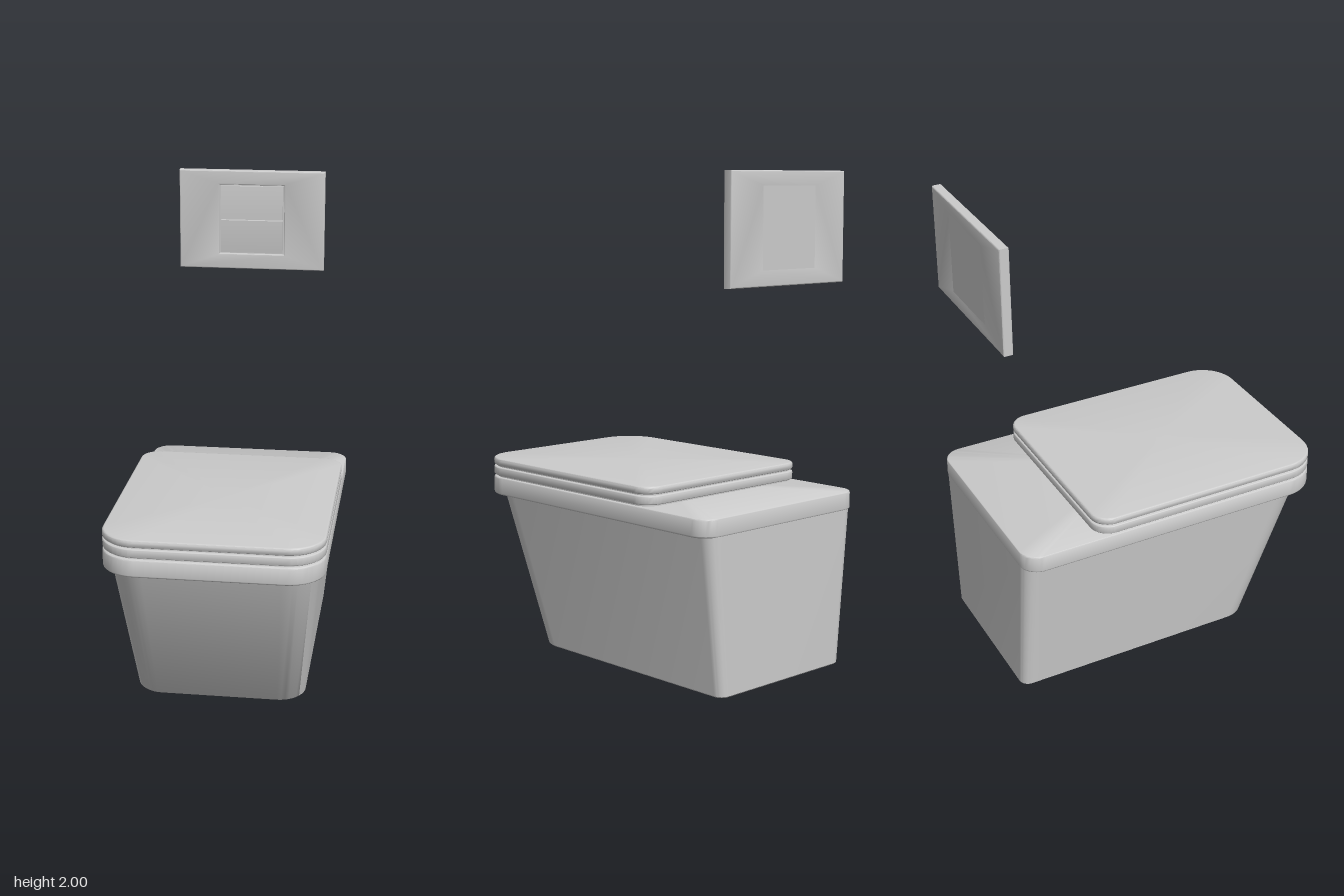
import * as THREE from 'three';
import { toCreasedNormals } from 'three/addons/utils/BufferGeometryUtils.js';

const material = new THREE.MeshStandardMaterial({ color: 0xcccccc });
const ARC = 10; // segments per rounded corner

// Rounded rectangle ring at height y, with separate front and back corner radii
function ring({ y, w, back, front, rb, rf }) {
  const corners = [
    [w - rf, front - rf, rf], [-w + rf, front - rf, rf],
    [-w + rb, back + rb, rb], [w - rb, back + rb, rb],
  ];
  const points = [];
  corners.forEach(([x, z, r], k) => {
    for (let i = 0; i <= ARC; i++) {
      const a = (k + i / ARC) * Math.PI / 2;
      points.push([x + r * Math.cos(a), y, z + r * Math.sin(a)]);
    }
  });
  return points;
}

// Closed solid skinned through a stack of rings, bottom to top
function loft(levels) {
  const rings = levels.map(ring);
  const n = rings[0].length, top = rings.length - 1;
  const index = [];
  for (let j = 0; j < top; j++) {
    for (let i = 0; i < n; i++) {
      const k = (i + 1) % n;
      const a = j * n + i, b = j * n + k, c = b + n, d = a + n;
      index.push(a, d, b, b, d, c);
    }
  }
  const positions = rings.flat(2);
  const mid = (l) => [0, l.y, (l.back + l.front) / 2];
  positions.push(...mid(levels[0]), ...mid(levels[top]));
  const low = rings.length * n;
  for (let i = 0; i < n; i++) {
    const k = (i + 1) % n;
    index.push(low, i, k, low + 1, top * n + k, top * n + i);
  }
  const g = new THREE.BufferGeometry();
  g.setAttribute('position', new THREE.Float32BufferAttribute(positions, 3));
  g.setIndex(index);
  return toCreasedNormals(g, 0.6);
}

// Level shrunk evenly by d and moved to height y
const inset = (o, y, d) => ({
  y, w: o.w - d, back: o.back + d, front: o.front - d, rb: o.rb - d, rf: o.rf - d,
});

// Flat slab with rounded upper and lower edges
function slab(o, y0, y1, bevel) {
  const levels = [];
  for (const [y, s] of [[y0 + bevel, -1], [y1 - bevel, 1]]) {
    for (let i = 0; i <= 4; i++) {
      const a = (s < 0 ? 4 - i : i) / 4 * Math.PI / 2;
      levels.push(inset(o, y + s * bevel * Math.sin(a), bevel * (1 - Math.cos(a))));
    }
  }
  return loft(levels);
}

function add(parent, name, geometry) {
  const mesh = new THREE.Mesh(geometry, material);
  mesh.name = name;
  parent.add(mesh);
  return mesh;
}

function rect(Type, x0, y0, x1, y1) {
  return new Type([[x0, y0], [x1, y0], [x1, y1], [x0, y1]].map((p) => new THREE.Vector2(...p)));
}

export function createModel() {
  const model = new THREE.Group();
  model.name = 'wallToilet';

  const toilet = new THREE.Group();
  toilet.name = 'toilet';
  model.add(toilet);

  // Tapered bowl with raked front and upright back
  const foot = { w: 0.35, back: -0.68, front: 0.415, rb: 0.04, rf: 0.11 };
  add(toilet, 'bowl', loft([
    inset(foot, 0, 0.007),
    inset(foot, 0.006, 0),
    { y: 0.64, w: 0.417, back: -0.68, front: 0.635, rb: 0.05, rf: 0.14 },
  ]));

  // Rim, seat and lid separated by thin shadow gaps
  const rim = { w: 0.443, back: -0.682, front: 0.685, rb: 0.08, rf: 0.15 };
  const cover = { ...rim, back: -0.368 };
  add(toilet, 'rim', slab(rim, 0.635, 0.71, 0.008));
  add(toilet, 'seatGap', loft([inset(cover, 0.7, 0.015), inset(cover, 0.725, 0.015)]));
  add(toilet, 'seat', slab(cover, 0.717, 0.753, 0.007));
  add(toilet, 'lidGap', loft([inset(cover, 0.745, 0.015), inset(cover, 0.77, 0.015)]));
  add(toilet, 'lid', slab(cover, 0.759, 0.79, 0.009));

  // Wall flush plate with a square opening
  const flush = new THREE.Group();
  flush.name = 'flushPlate';
  model.add(flush);
  const bevel = 0.005;
  const face = rect(THREE.Shape, -0.32 + bevel, 1.565 + bevel, 0.32 - bevel, 2 - bevel);
  face.holes.push(rect(THREE.Path, -0.148, 1.627, 0.148, 1.943));
  const plate = add(flush, 'plate', toCreasedNormals(new THREE.ExtrudeGeometry(face, {
    depth: 0.03, bevelSize: bevel, bevelThickness: bevel, bevelSegments: 3,
  }), 0.6));
  plate.position.z = -0.683;
  const backing = add(flush, 'plateBack', new THREE.BoxGeometry(0.31, 0.33, 0.024));
  backing.position.set(0, 1.785, -0.676);

  // Two push buttons whose fronts share one shallow curve
  const buttonWidth = 0.274;
  const bulge = (y) => -0.643 - 0.008 * ((y - 1.785) / 0.15) ** 2;
  for (const [name, y0, y1] of [['lowerButton', 1.638, 1.782], ['upperButton', 1.788, 1.932]]) {
    const side = new THREE.Shape();
    side.moveTo(0.67, y0);
    for (let i = 0; i <= 8; i++) {
      const y = y0 + (y1 - y0) * i / 8;
      side.lineTo(-bulge(y), y);
    }
    side.lineTo(0.67, y1);
    const g = new THREE.ExtrudeGeometry(side, { depth: buttonWidth, bevelEnabled: false });
    g.translate(0, 0, -buttonWidth / 2).rotateY(Math.PI / 2);
    // The profile runs along -z after the turn
    add(flush, name, toCreasedNormals(g, 0.5));
  }
  return model;
}
